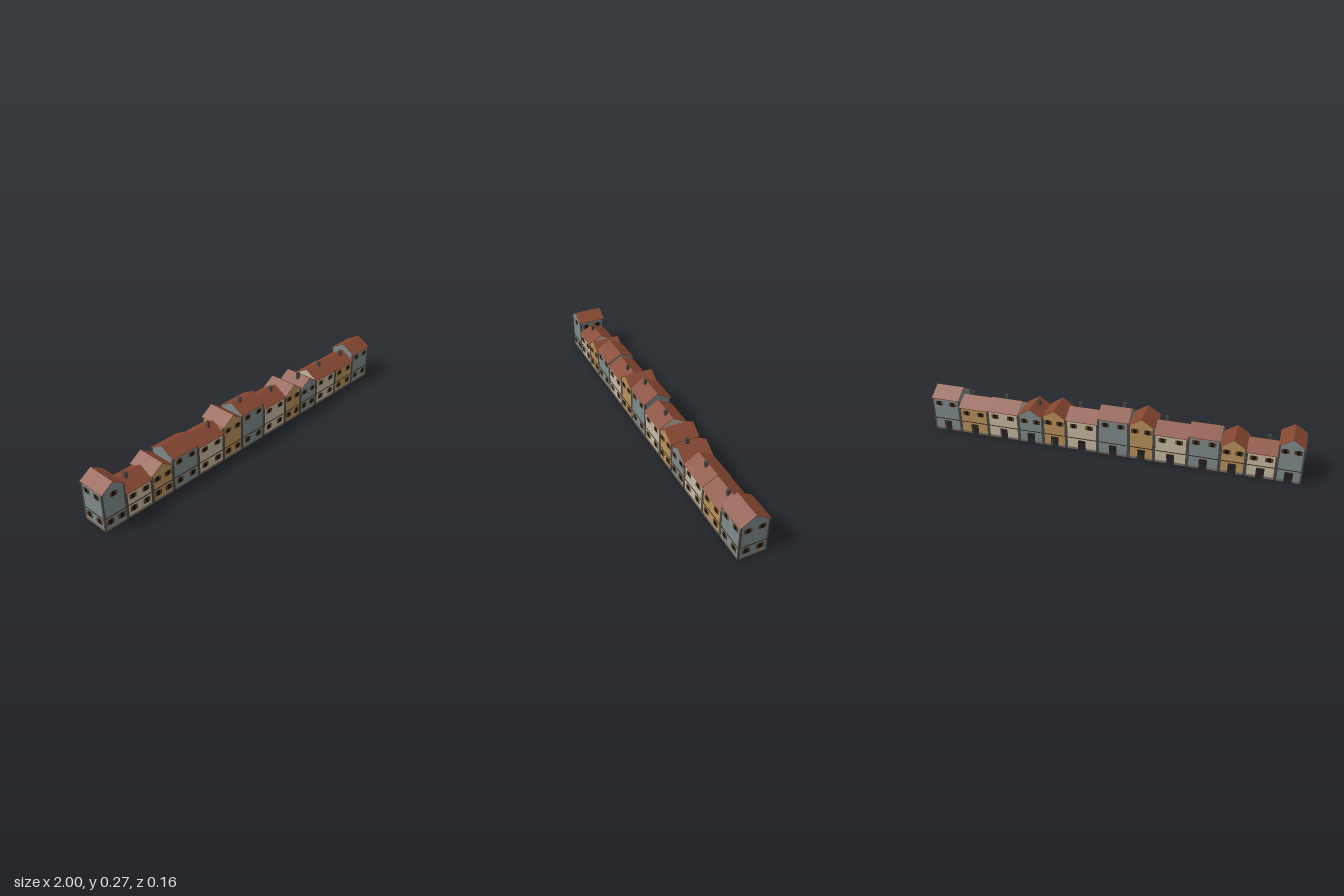
import * as THREE from 'three';

const mat = (name, color) => {
  const m = new THREE.MeshStandardMaterial({ color });
  m.name = name;
  return m;
};

const D = 0.15;        // house depth
const T = 0.006;       // wall thickness
const STOREY = 0.07;   // height of the upper floor
const DOOR_W = 0.034, DOOR_H = 0.054;

export function createModel() {
  const M = {
    blue: mat('blue grey plaster', 0x7f8b8c),
    cream: mat('cream plaster', 0xc6b9a2),
    ochre: mat('ochre plaster', 0xb8925a),
    roof: mat('red roof tile', 0x854630),
    timber: mat('dark timber', 0x38261a),
    shutter: mat('brown shutter', 0x5a3e22),
    pane: mat('black glass', 0x12100d),
    stone: mat('grey corner stone', 0x4b4843),
    plinth: mat('taupe plinth', 0x766b62),
  };

  function add(parent, name, geo, material, x = 0, y = 0, z = 0) {
    const mesh = new THREE.Mesh(geo, material);
    mesh.name = name;
    mesh.position.set(x, y, z);
    parent.add(mesh);
    return mesh;
  }
  const box = (parent, name, material, w, h, d, x, y, z) =>
    add(parent, name, new THREE.BoxGeometry(w, h, d), material, x, y, z);

  // Wall outline, with an optional gable and doorway, facing +z with its face at z = 0
  function wall(parent, width, eave, rise, door, material) {
    const a = width / 2, p = [[-a, 0]];
    if (door) {
      const d = DOOR_W / 2;
      p.push([-d, 0], [-d, DOOR_H], [d, DOOR_H], [d, 0]);
    }
    p.push([a, 0], [a, eave]);
    if (rise) p.push([0, eave + rise]);
    p.push([-a, eave]);
    const shape = new THREE.Shape(p.map(([x, y]) => new THREE.Vector2(x, y)));
    add(parent, 'wall', new THREE.ExtrudeGeometry(shape, { depth: T, bevelEnabled: false }), material, 0, 0, -T);
  }

  // Window with frame, glass and a pair of shutters
  function windowUnit(parent, x, y, h) {
    const g = new THREE.Group();
    g.name = 'window';
    g.position.set(x, y, 0);
    box(g, 'windowFrame', M.timber, 0.02, h, 0.009, 0, 0, -0.0025);
    box(g, 'glass', M.pane, 0.016, h - 0.005, 0.009, 0, 0, -0.002);
    for (const s of [-1, 1]) box(g, 'shutter', M.shutter, 0.01, h - 0.003, 0.003, s * 0.0148, 0, 0.001);
    parent.add(g);
  }

  // Plinth and floor beam, split around a doorway where needed
  function trim(parent, width, door) {
    if (door) {
      const w = (width - DOOR_W) / 2;
      for (const s of [-1, 1]) {
        box(parent, 'plinth', M.plinth, w, 0.012, 0.002, s * (DOOR_W + w) / 2, 0.006, 0.0005);
        box(parent, 'doorJamb', M.timber, 0.004, DOOR_H, 0.008, s * (DOOR_W / 2 + 0.002), DOOR_H / 2, -0.002);
      }
      box(parent, 'doorLintel', M.timber, DOOR_W + 0.008, 0.004, 0.008, 0, DOOR_H + 0.002, -0.002);
    } else {
      box(parent, 'plinth', M.plinth, width, 0.012, 0.002, 0, 0.006, 0.0005);
    }
    box(parent, 'floorBeam', M.timber, width, 0.004, 0.003, 0, STOREY, 0.0005);
  }

  // Chevron roof with its ridge along z
  function roof(parent, halfSpan, overhang, rise, length, eave) {
    const t = 0.004, e = halfSpan + overhang, low = -overhang * rise / halfSpan;
    const p = [[-e, low], [0, rise], [e, low], [e, low + t], [0, rise + t], [-e, low + t]];
    const shape = new THREE.Shape(p.map(([x, y]) => new THREE.Vector2(x, y)));
    const geo = new THREE.ExtrudeGeometry(shape, { depth: length, bevelEnabled: false });
    return add(parent, 'roof', geo.translate(0, 0, -length / 2), M.roof, 0, eave, 0);
  }

  function house(h, x0, x1, first, last) {
    const g = new THREE.Group();
    g.name = 'house';
    const w = x1 - x0, plaster = M[h.color];
    g.position.x = (x0 + x1) / 2;
    const rise = h.top - 0.004 - h.eave;

    // Four walls: front, left, back, right
    for (let i = 0; i < 4; i++) {
      const side = new THREE.Group();
      side.name = ['frontSide', 'leftSide', 'backSide', 'rightSide'][i];
      side.rotation.y = i * Math.PI / 2;
      const across = i % 2 === 0, width = across ? w : D;
      const inset = 0.0015, off = (across ? D : w) / 2 - inset;
      side.position.set(Math.sin(side.rotation.y) * off, 0, Math.cos(side.rotation.y) * off);
      const door = i === 2;
      wall(side, width - 2 * inset, h.eave, across === !!h.gable ? rise : 0, door, plaster);

      const outer = (i === 1 && last) || (i === 3 && first);
      const wx = across ? w * 0.25 : 0.036;
      if (across || outer) trim(side, width - 0.016, door);
      for (const s of [-1, 1]) {
        if (i === 0 || outer) windowUnit(side, s * wx, 0.043, 0.03);
        if (outer || (across && !(h.single && i === 0)) || (h.single && i === 1))
          windowUnit(side, s * wx, h.eave - 0.028, 0.026);
      }
      if (h.single && i === 0) windowUnit(side, 0, h.eave - 0.022, 0.026);
      g.add(side);
    }

    // Corner posts and upper floor
    for (const sx of [-1, 1]) for (const sz of [-1, 1])
      box(g, 'cornerPost', M.stone, 0.008, h.eave, 0.009, sx * (w / 2 - 0.004), h.eave / 2, sz * (D / 2 - 0.0045));
    box(g, 'upperFloor', M.timber, w - 0.012, 0.004, D - 0.012, 0, STOREY, 0);

    // Roof: ridge runs front to back on gabled fronts, along the row otherwise
    if (h.gable) roof(g, w / 2, 0.001, rise, 0.157, h.eave);
    else roof(g, D / 2, 0.0036, rise, w, h.eave).rotation.y = Math.PI / 2;

    if (h.chimney !== undefined)
      box(g, 'chimney', M.stone, 0.015, 0.05, 0.015, h.chimney - g.position.x, h.top - 0.005, 0.014);
    return g;
  }

  const edges = [-1, -0.872, -0.72, -0.59, -0.425, -0.25, -0.115, 0.053, 0.227, 0.358, 0.497, 0.676, 0.842, 1];
  const houses = [
    { color: 'blue', eave: 0.205, top: 0.25, gable: true, single: true },
    { color: 'cream', eave: 0.14, top: 0.187, chimney: -0.82 },
    { color: 'ochre', eave: 0.152, top: 0.2, gable: true },
    { color: 'blue', eave: 0.18, top: 0.228 },
    { color: 'cream', eave: 0.163, top: 0.211, chimney: -0.297 },
    { color: 'ochre', eave: 0.195, top: 0.243, gable: true },
    { color: 'blue', eave: 0.206, top: 0.254, chimney: -0.07 },
    { color: 'cream', eave: 0.17, top: 0.218, chimney: 0.172 },
    { color: 'ochre', eave: 0.17, top: 0.217, gable: true },
    { color: 'blue', eave: 0.158, top: 0.206, gable: true, chimney: 0.405 },
    { color: 'cream', eave: 0.157, top: 0.205, chimney: 0.592 },
    { color: 'ochre', eave: 0.152, top: 0.2, chimney: 0.794 },
    { color: 'blue', eave: 0.191, top: 0.24 },
  ];

  const row = new THREE.Group();
  row.name = 'houseRow';
  houses.forEach((h, i) => row.add(house(h, edges[i], edges[i + 1], i === 0, i === houses.length - 1)));
  return row;
}
